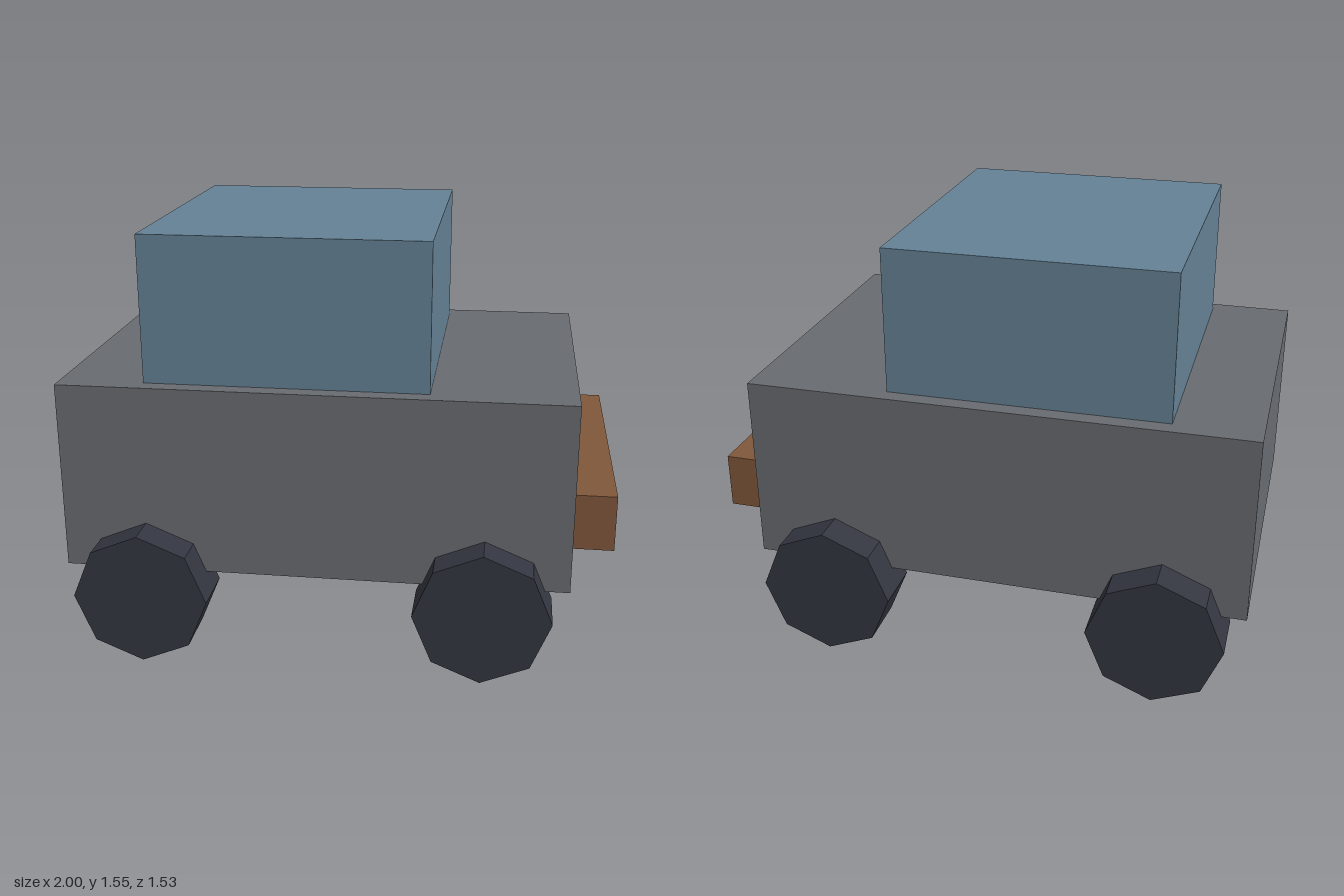
import * as THREE from 'three';

const paint = (color) => new THREE.MeshStandardMaterial({ color, flatShading: true });

// Box given by its extents in x and y and its half depth in z
function block(name, x0, x1, y0, y1, halfDepth, material) {
  const mesh = new THREE.Mesh(new THREE.BoxGeometry(x1 - x0, y1 - y0, halfDepth * 2), material);
  mesh.position.set((x0 + x1) / 2, (y0 + y1) / 2, 0);
  mesh.name = name;
  return mesh;
}

export function createModel() {
  const model = new THREE.Group();
  model.name = 'blockyCar';

  // Body, cabin and bumper; the car drives towards +x
  model.add(
    block('body', -1, 0.852, 0.313, 1.013, 0.639, paint(0x686b70)),
    block('cabin', -0.691, 0.336, 1.013, 1.549, 0.577, paint(0x658195)),
    block('bumper', 0.852, 1, 0.458, 0.664, 0.577, paint(0x80573b)),
  );

  // Four eight-sided wheels, partly sunk into the body
  const radius = 0.247;
  const wheelGeometry = new THREE.CylinderGeometry(radius, radius, 0.206, 8).rotateX(Math.PI / 2);
  const rubber = paint(0x333640);
  for (const [end, x] of [['front', 0.544], ['rear', -0.691]]) {
    for (const [side, z] of [['Right', 0.661], ['Left', -0.661]]) {
      const wheel = new THREE.Mesh(wheelGeometry, rubber);
      wheel.position.set(x, radius, z);
      wheel.name = `${end}${side}Wheel`;
      model.add(wheel);
    }
  }
  return model;
}
